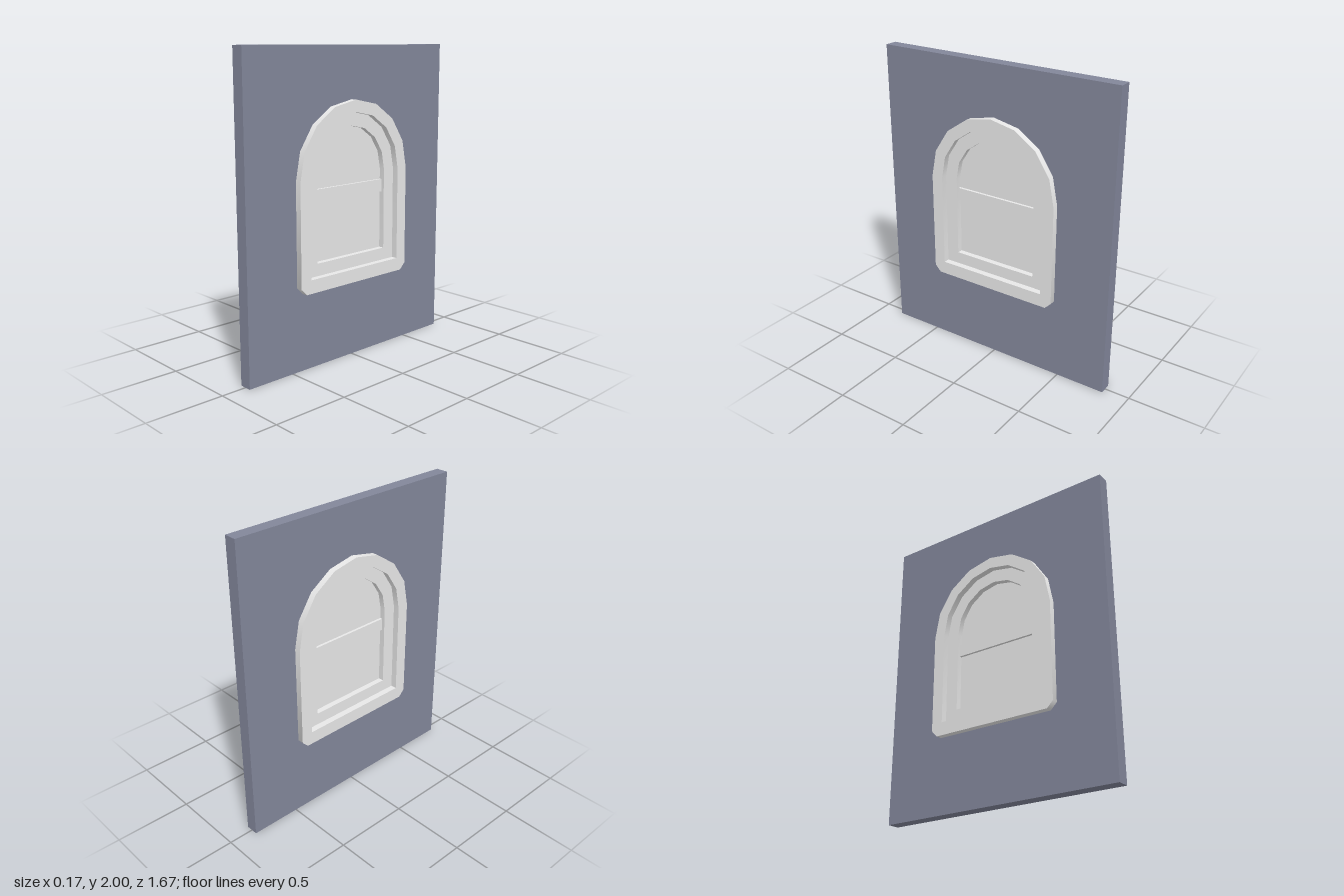
import * as THREE from 'three';
import { toCreasedNormals } from 'three/addons/utils/BufferGeometryUtils.js';

const SPRING = 1.2; // height where the arch begins

// Arched outline: straight sides, eight-sided arch, optional chamfered feet
function archPoints(halfWidth, rise, bottom, chamfer = 0) {
  const points = [];
  for (let i = 0; i <= 8; i++) {
    const a = (i / 8) * Math.PI;
    points.push(new THREE.Vector2(Math.cos(a) * halfWidth, SPRING + Math.sin(a) * rise));
  }
  if (chamfer) {
    points.push(new THREE.Vector2(-halfWidth, bottom + chamfer));
    points.push(new THREE.Vector2(-halfWidth + chamfer, bottom));
    points.push(new THREE.Vector2(halfWidth - chamfer, bottom));
    points.push(new THREE.Vector2(halfWidth, bottom + chamfer));
  } else {
    points.push(new THREE.Vector2(-halfWidth, bottom), new THREE.Vector2(halfWidth, bottom));
  }
  return points;
}

// Extrude an outline with an optional hole, centred on x = 0 and facing sideways
function panel(name, outline, hole, depth, material) {
  const shape = new THREE.Shape(outline);
  if (hole) shape.holes.push(new THREE.Path(hole));
  let geometry = new THREE.ExtrudeGeometry(shape, { depth, bevelEnabled: false });
  geometry.translate(0, 0, -depth / 2);
  geometry.rotateY(Math.PI / 2);
  geometry = toCreasedNormals(geometry, 0.9);
  const mesh = new THREE.Mesh(geometry, material);
  mesh.name = name;
  return mesh;
}

export function createModel() {
  const group = new THREE.Group();
  group.name = 'archedWindowWall';

  const wallPaint = new THREE.MeshStandardMaterial({ color: 0x82869a });
  wallPaint.name = 'wallBlueGrey';
  const trimPaint = new THREE.MeshStandardMaterial({ color: 0xeeeeee });
  trimPaint.name = 'windowWhite';

  const outer = archPoints(0.459, 0.467, 0.5, 0.042);
  const middle = archPoints(0.38, 0.39, 0.587);
  const inner = archPoints(0.294, 0.303, 0.667);
  const hidden = archPoints(0.4, 0.41, 0.567); // seat of the sash inside the frame

  // Wall with its window opening
  const wallOutline = [[-0.833, 0], [0.833, 0], [0.833, 2], [-0.833, 2]]
    .map(([x, y]) => new THREE.Vector2(x, y));
  group.add(panel('wall', wallOutline, hidden, 0.0833, wallPaint));

  // Window: stepped frame, sash and pane, the same on both faces
  group.add(panel('outerFrame', outer, middle, 0.1667, trimPaint));
  group.add(panel('sash', hidden, inner, 0.083, trimPaint));
  group.add(panel('pane', archPoints(0.3, 0.31, 0.66), null, 0.008, trimPaint));

  // Horizontal bar across the pane
  const bar = new THREE.Mesh(new THREE.BoxGeometry(0.042, 0.083, 0.6), trimPaint);
  bar.name = 'crossBar';
  bar.position.y = 1.088;
  group.add(bar);

  return group;
}
